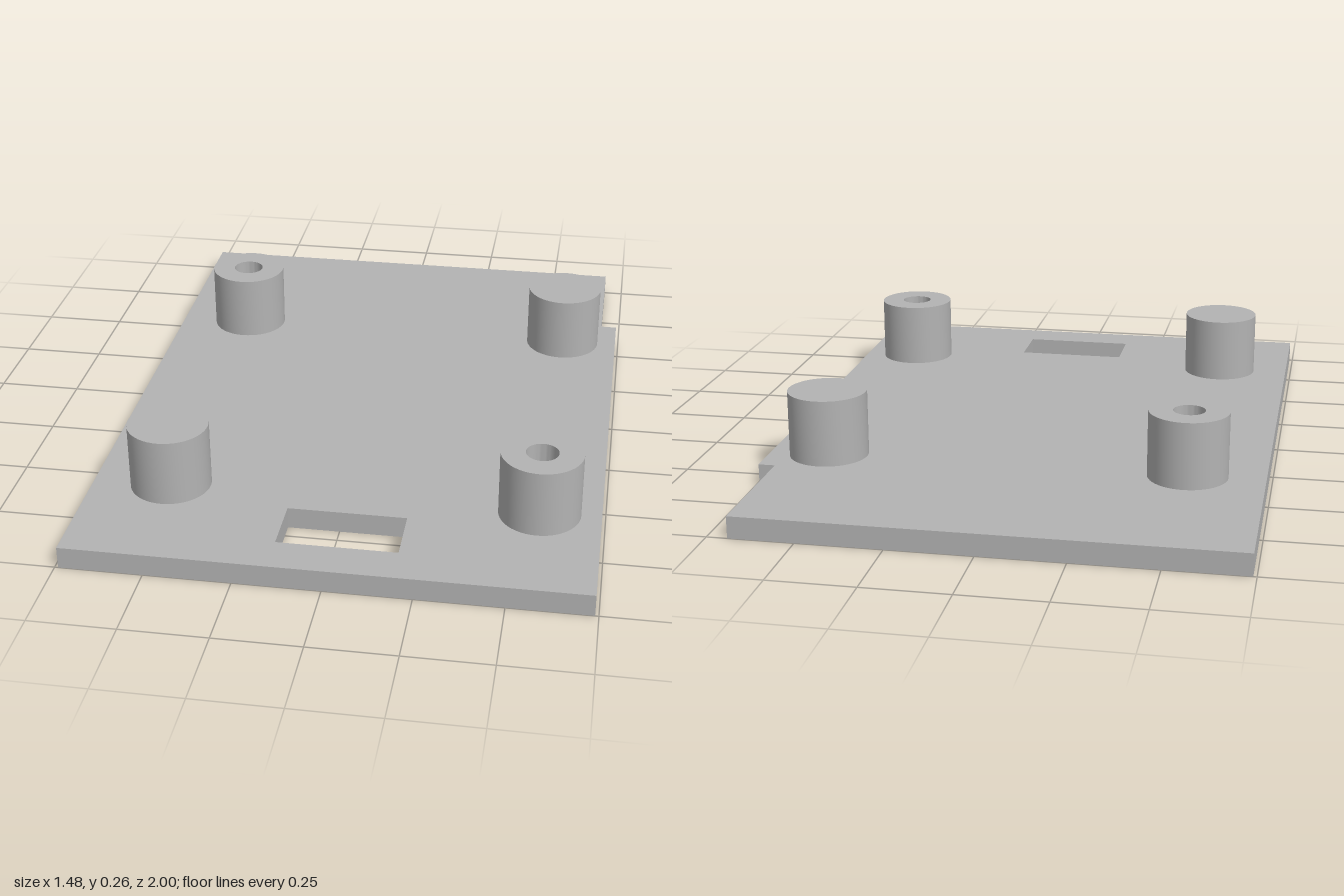
import * as THREE from 'three';
import { mergeGeometries, toCreasedNormals } from 'three/addons/utils/BufferGeometryUtils.js';

const TOP = 0.065, POCKET = 0.022, BOSS_TOP = 0.265;

// Loops are lists of [x, -z]; outlines run counter-clockwise
const rect = (x0, x1, z0, z1) => [[x0, -z1], [x1, -z1], [x1, -z0], [x0, -z0]];
const reversed = (loop) => [...loop].reverse();
const vectors = (loop) => loop.map(([x, y]) => new THREE.Vector2(x, y));

// Flat horizontal face with holes, looking up or down
function cap(outline, holes, y, up) {
  const shape = new THREE.Shape(vectors(outline));
  holes.forEach((h) => shape.holes.push(new THREE.Path(vectors(reversed(h)))));
  const geo = new THREE.ShapeGeometry(shape).rotateX(-Math.PI / 2).translate(0, y, 0);
  if (!up) geo.setIndex([...geo.index.array].reverse());
  const flat = geo.toNonIndexed();
  flat.deleteAttribute('uv');
  flat.computeVertexNormals();
  return flat;
}

// Upright faces along a closed loop
function walls(loop, y0, y1) {
  const pos = [];
  loop.forEach(([ax, ay], i) => {
    const [bx, by] = loop[(i + 1) % loop.length];
    const a = [ax, y0, -ay], b = [bx, y0, -by], c = [bx, y1, -by], d = [ax, y1, -ay];
    pos.push(...a, ...b, ...c, ...a, ...c, ...d);
  });
  const geo = new THREE.BufferGeometry();
  geo.setAttribute('position', new THREE.Float32BufferAttribute(pos, 3));
  geo.computeVertexNormals();
  return geo;
}

export function createModel() {
  const model = new THREE.Group();
  model.name = 'mountingPlate';
  const grey = new THREE.MeshStandardMaterial({ color: 0xb3b3b3 });
  grey.name = 'grey';

  // Plate with a stepped edge, a through slot and a shallow pocket underneath
  const outline = [[-0.74, -1], [0.74, -1], [0.74, 0.59], [0.69, 0.59], [0.69, 1], [-0.74, 1]];
  const slot = rect(-0.15, 0.195, 0.705, 0.88);
  const pocket = rect(-0.69, 0.5, -0.78, -0.08);
  const plate = new THREE.Mesh(mergeGeometries([
    cap(outline, [slot], TOP, true),
    cap(outline, [slot, pocket], 0, false),
    cap(pocket, [], POCKET, false),
    walls(outline, 0, TOP),
    walls(reversed(slot), 0, TOP),
    walls(reversed(pocket), 0, POCKET),
  ]), grey);
  plate.name = 'plate';
  model.add(plate);

  // Four bosses; one diagonal pair has blind screw holes
  const boss = (name, x, z, drilled) => {
    const R = 0.118, r = 0.047;
    const profile = [[R, TOP], [R, BOSS_TOP]];
    if (drilled) profile.push([r, BOSS_TOP], [r, TOP]);
    else profile.push([0, BOSS_TOP]);
    const geo = toCreasedNormals(new THREE.LatheGeometry(vectors(profile), 48), 0.6);
    const mesh = new THREE.Mesh(geo, grey);
    mesh.name = name;
    mesh.position.set(x, 0, z);
    model.add(mesh);
  };
  boss('backRightDrilledBoss', -0.513, -0.458, true);
  boss('backLeftBoss', 0.563, -0.458, false);
  boss('frontRightBoss', -0.513, 0.62, false);
  boss('frontLeftDrilledBoss', 0.563, 0.62, true);

  return model;
}
